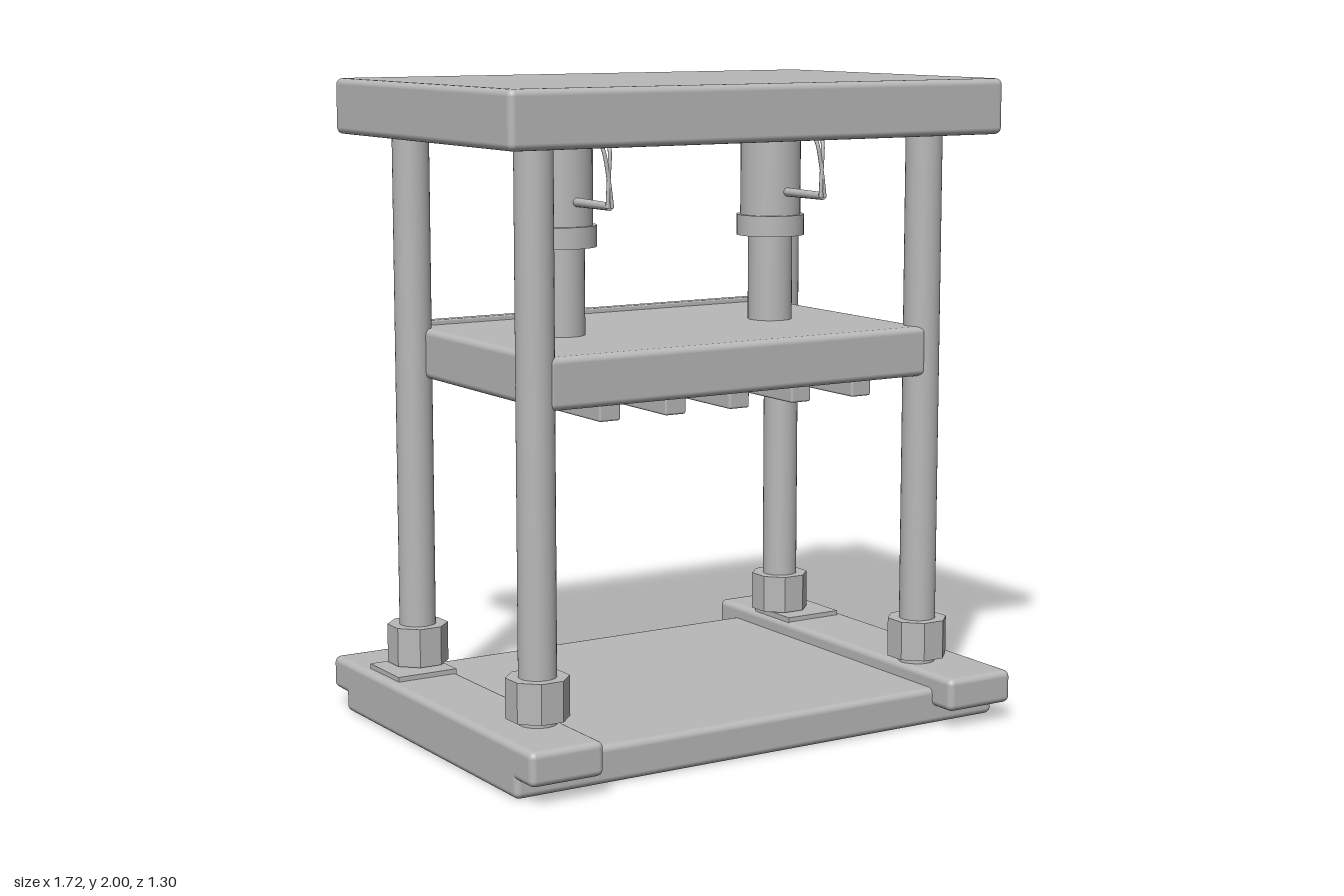
import * as THREE from 'three';
import { RoundedBoxGeometry } from 'three/addons/geometries/RoundedBoxGeometry.js';

export function createModel() {
  const model = new THREE.Group();
  model.name = 'hydraulicPress';
  const steel = new THREE.MeshStandardMaterial({ color: 0xb8b8b8 });
  steel.name = 'plainSteel';

  function add(name, geometry, x, y, z) {
    const mesh = new THREE.Mesh(geometry, steel);
    mesh.name = name;
    mesh.position.set(x, y, z);
    model.add(mesh);
    return mesh;
  }
  // Rounded block given by its limits on each axis
  function block(name, x0, x1, y0, y1, z0, z1, r) {
    const g = new RoundedBoxGeometry(x1 - x0, y1 - y0, z1 - z0, 3, r);
    return add(name, g, (x0 + x1) / 2, (y0 + y1) / 2, (z0 + z1) / 2);
  }
  // Upright cylinder between two heights
  function post(name, x, z, r, y0, y1, sides = 32) {
    return add(name, new THREE.CylinderGeometry(r, r, y1 - y0, sides), x, (y0 + y1) / 2, z);
  }
  // Round knob facing the back, with softened rim
  function knob(name, x, y, z, r, depth) {
    const b = 0.008;
    const profile = [[0, 0], [r, 0], [r, depth - b], [r - b, depth], [0, depth]]
      .map(p => new THREE.Vector2(p[0], p[1]));
    const mesh = add(name, new THREE.LatheGeometry(profile, 32).toNonIndexed(), x, y, z);
    mesh.rotation.x = -Math.PI / 2;
  }

  // Fixed plates
  block('basePlate', -0.86, 0.86, 0, 0.115, -0.56, 0.56, 0.02);
  block('topPlate', -0.86, 0.86, 1.83, 2, -0.56, 0.56, 0.02);

  // Moving platen with its slats and back strip
  block('platen', -0.675, 0.675, 1.08, 1.235, -0.437, 0.437, 0.02);
  block('platenBackStrip', -0.65, 0.65, 1.222, 1.25, -0.447, -0.41, 0.005);
  for (let i = -2; i <= 2; i++) {
    const x = i * 0.225;
    block('platenSlat', x - 0.036, x + 0.036, 1.03, 1.09, -0.4, 0.4, 0.007);
  }

  for (const side of [-1, 1]) {
    // Foot rail and thin pad beside the rear column
    block('footRail', side * 0.74 - 0.12, side * 0.74 + 0.12, 0.057, 0.16, -0.65, 0.65, 0.02);
    add('footPad', new THREE.BoxGeometry(0.2, 0.02, 0.2), side * 0.73, 0.165, -0.34);

    // Guide columns with octagonal nuts
    for (const z of [-0.385, 0.385]) {
      post('column', side * 0.69, z, 0.057, 0.13, 1.85);
      const nut = new THREE.CylinderGeometry(0.095, 0.095, 0.122, 8).toNonIndexed();
      nut.computeVertexNormals();
      nut.rotateY(Math.PI / 8);
      add('columnNut', nut, side * 0.69, 0.239, z);
    }

    // Ram: rod, collar and barrel
    const x = side * 0.38;
    post('ramRod', x, 0, 0.07, 1.22, 1.52);
    post('ramCollar', x, 0, 0.107, 1.503, 1.568);
    post('ramBarrel', x, 0, 0.095, 1.56, 1.84);

    // Feed pipe from the barrel, with two thin hoses up to the top plate
    const pipe = new THREE.CylinderGeometry(0.012, 0.014, 0.2, 12);
    pipe.rotateX(Math.PI / 2);
    add('feedPipe', pipe, x, 1.642, 0.185);
    for (const s of [-1, 1]) {
      const path = new THREE.CatmullRomCurve3([
        new THREE.Vector3(s * -0.008, 1.637, 0.284),
        new THREE.Vector3(0, 1.72, 0.278),
        new THREE.Vector3(s * 0.01, 1.8, 0.268),
        new THREE.Vector3(s * 0.015, 1.835, 0.25),
      ]);
      add('feedHose', new THREE.TubeGeometry(path, 16, 0.006, 8), x, 0, 0);
    }
  }

  // Knobs on the back of the top plate
  knob('largeKnob', 0.675, 1.92, -0.555, 0.077, 0.052);
  knob('smallKnob', 0, 1.92, -0.555, 0.053, 0.029);

  return model;
}
